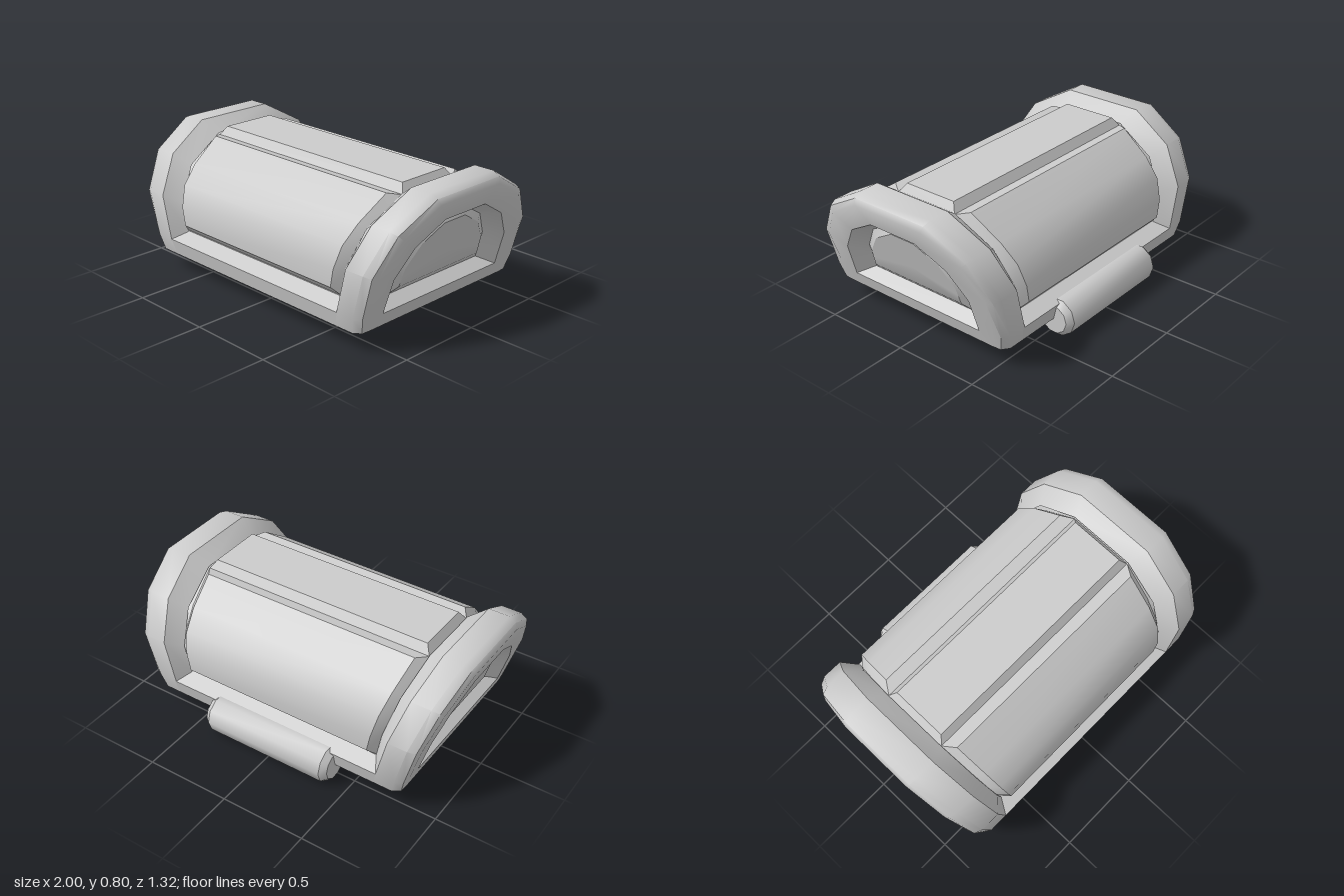
import * as THREE from 'three';
import { toCreasedNormals } from 'three/addons/utils/BufferGeometryUtils.js';

const MID_Z = 0.045; // the lid is symmetric about this depth
const grey = new THREE.MeshStandardMaterial({ color: 0xcccccc });
const V = (x, y, z) => new THREE.Vector3(x, y, z);

// Skin a grid of points; faces point along (column direction) x (row direction)
function skin(rows, crease = 0.65) {
  const out = [];
  const tri = (...pts) => pts.forEach((p) => out.push(p.x, p.y, p.z));
  for (let i = 0; i < rows.length - 1; i++) {
    for (let j = 0; j < rows[i].length - 1; j++) {
      const a = rows[i][j], b = rows[i][j + 1], c = rows[i + 1][j + 1], d = rows[i + 1][j];
      if (!a.equals(b)) tri(a, b, c);
      if (!c.equals(d)) tri(a, c, d);
    }
  }
  const g = new THREE.BufferGeometry();
  g.setAttribute('position', new THREE.Float32BufferAttribute(out, 3));
  g.computeVertexNormals();
  return toCreasedNormals(g, crease);
}

function add(parent, name, geometry) {
  const mesh = new THREE.Mesh(geometry, grey);
  mesh.name = name;
  parent.add(mesh);
  return mesh;
}

// Arch from back to front: half profile [z, y] from the foot up; x leans out with height
function arch(half, x0, lean) {
  const back = half.map(([z, y]) => V(x0 + lean * y, y, -z));
  const front = half.map(([z, y]) => V(x0 + lean * y, y, z)).reverse();
  return [...back, ...front];
}
const close = (ring) => [...ring, ring[0]];

// Raised panel with a bevelled rim: matching base and raised profiles of [z, y]
function panel(base, raised, baseX, raisedX) {
  const rows = base.map(([z, y], i) => {
    const [rz, ry] = raised[i];
    const bx = baseX(y), rx = raisedX(ry);
    return [V(-bx, y, z), V(-rx, ry, rz), V(rx, ry, rz), V(bx, y, z)];
  });
  const rim = ([a, , , b]) => [a, a, b, b];
  return skin([rim(rows[0]), ...rows, rim(rows[rows.length - 1])], 0.5);
}

export function createModel() {
  const model = new THREE.Group();
  model.name = 'chestLid';
  const lid = new THREE.Group();
  lid.name = 'lid';
  lid.position.z = MID_Z;
  model.add(lid);

  // Barrel core with the front and back sills
  const core = [[0.595, 0.11], [0.615, 0.2], [0.525, 0.24], [0.525, 0.38], [0.485, 0.49], [0.39, 0.59], [0.2, 0.72]];
  const coreRows = [...core, ...core.map(([z, y]) => [-z, y]).reverse()]
    .map(([z, y]) => [V(-0.64 - 0.206 * y, y, z), V(0.64 + 0.206 * y, y, z)]);
  add(lid, 'barrelCore', skin(coreRows, 0.5));

  // Curved raised panels, front and back
  const base = [[0.525, 0.245], [0.525, 0.385], [0.485, 0.495], [0.39, 0.595], [0.195, 0.725]];
  const raised = [[0.575, 0.295], [0.575, 0.4], [0.535, 0.52], [0.44, 0.62], [0.265, 0.74]];
  const sidePanel = panel(base, raised, (y) => 0.57 + 0.206 * y, (y) => 0.53 + 0.19 * y);
  add(lid, 'frontPanel', sidePanel);
  add(lid, 'backPanel', sidePanel).rotation.y = Math.PI;

  // Flat raised panel on top
  add(lid, 'topPanel', panel([[0.2, 0.72], [-0.2, 0.72]], [[0.163, 0.775], [-0.163, 0.775]],
    () => 0.72, () => 0.685));

  // Flared end bands with shallow recessed arched end panels
  const foot = [[0.525, 0.2], [0.53, 0.24], [0.535, 0.41], [0.43, 0.6], [0.2, 0.735]];
  const outer = [[0.595, 0.11], [0.615, 0.2], [0.615, 0.45], [0.49, 0.66], [0.245, 0.802]];
  const inset = [[0.565, 0.11], [0.59, 0.2], [0.595, 0.44], [0.475, 0.645], [0.237, 0.782]];
  const rim = [[0.51, 0.11], [0.54, 0.2], [0.56, 0.43], [0.45, 0.62], [0.225, 0.75]];
  const hole = [[0.445, 0.19], [0.44, 0.29], [0.435, 0.39], [0.335, 0.545], [0.155, 0.65]];
  const recess = [[0.355, 0.24], [0.35, 0.32], [0.345, 0.4], [0.26, 0.54], [0.1, 0.63]];
  const face = [[0.31, 0.285], [0.305, 0.34], [0.3, 0.39], [0.22, 0.51], [0.08, 0.592]];
  const innerRing = arch(outer, 0.62, 0.248);
  const outerRing = arch(outer, 0.73, 0.262);
  const insetRing = arch(inset, 0.77, 0.274);
  const rimRing = arch(rim, 0.77, 0.305);
  const holeRing = arch(hole, 0.77, 0.305);
  const faceRing = arch(face, 0.72, 0.305);
  const endParts = {
    BandInnerSlope: skin([arch(foot, 0.57, 0.206), innerRing]),
    Band: skin([innerRing, outerRing, insetRing, rimRing, holeRing], 0.75),
    EndSill: skin([rimRing, holeRing].map((ring) => [ring[ring.length - 1], ring[0]])),
    EndPanel: skin([
      ...[holeRing, arch(recess, 0.69, 0.305), faceRing].map(close),
      close(faceRing).map(() => V(0.72 + 0.305 * 0.4, 0.4, 0)),
    ], 0.5),
  };
  for (const [side, turn] of [['left', 0], ['right', Math.PI]]) {
    for (const [part, geometry] of Object.entries(endParts)) {
      add(lid, side + part, geometry).rotation.y = turn;
    }
  }

  // Underside frame, its corners following the feet of the bands
  const HX = 0.62, HZ = 0.41;
  const corner = [rimRing[0], insetRing[0], outerRing[0]].map((p) => [p.x, -p.z]);
  const flip = (pts, sx, sz) => pts.map(([x, z]) => new THREE.Vector2(sx * x, sz * z));
  const plate = new THREE.Shape([
    ...flip(corner, 1, 1), ...flip(corner, -1, 1).reverse(),
    ...flip(corner, -1, -1), ...flip(corner, 1, -1).reverse(),
  ]);
  const opening = [[HX, HZ], [-HX, HZ], [-HX, -HZ], [HX, -HZ]];
  plate.holes.push(new THREE.Path(flip(opening, 1, 1)));
  const plateGeo = new THREE.ExtrudeGeometry(plate, { depth: 0.05, bevelEnabled: false });
  plateGeo.rotateX(-Math.PI / 2).translate(0, 0.11, 0);
  add(lid, 'bottomFrame', plateGeo);

  // Hollow rising from the frame to a flat ceiling
  const level = (y) => close(opening.map(([x, z]) => V(x, y, z)));
  add(lid, 'hollow', skin([level(0.11), level(0.36), level(0.36).map(() => V(0, 0.36, 0))]));

  // Ten-sided hinge barrel with chamfered ends
  const section = new THREE.Shape(Array.from({ length: 10 }, (_, i) => {
    const a = i * Math.PI / 5;
    return new THREE.Vector2(0.082 * Math.cos(a), 0.082 * Math.sin(a));
  }));
  const hingeGeo = new THREE.ExtrudeGeometry(section, {
    depth: 0.74, bevelSize: 0.028, bevelThickness: 0.035, bevelSegments: 1,
  });
  hingeGeo.translate(0, 0, -0.37).rotateY(Math.PI / 2);
  add(model, 'hinge', toCreasedNormals(hingeGeo, 0.65)).position.set(0, 0.106, -0.55);

  return model;
}
